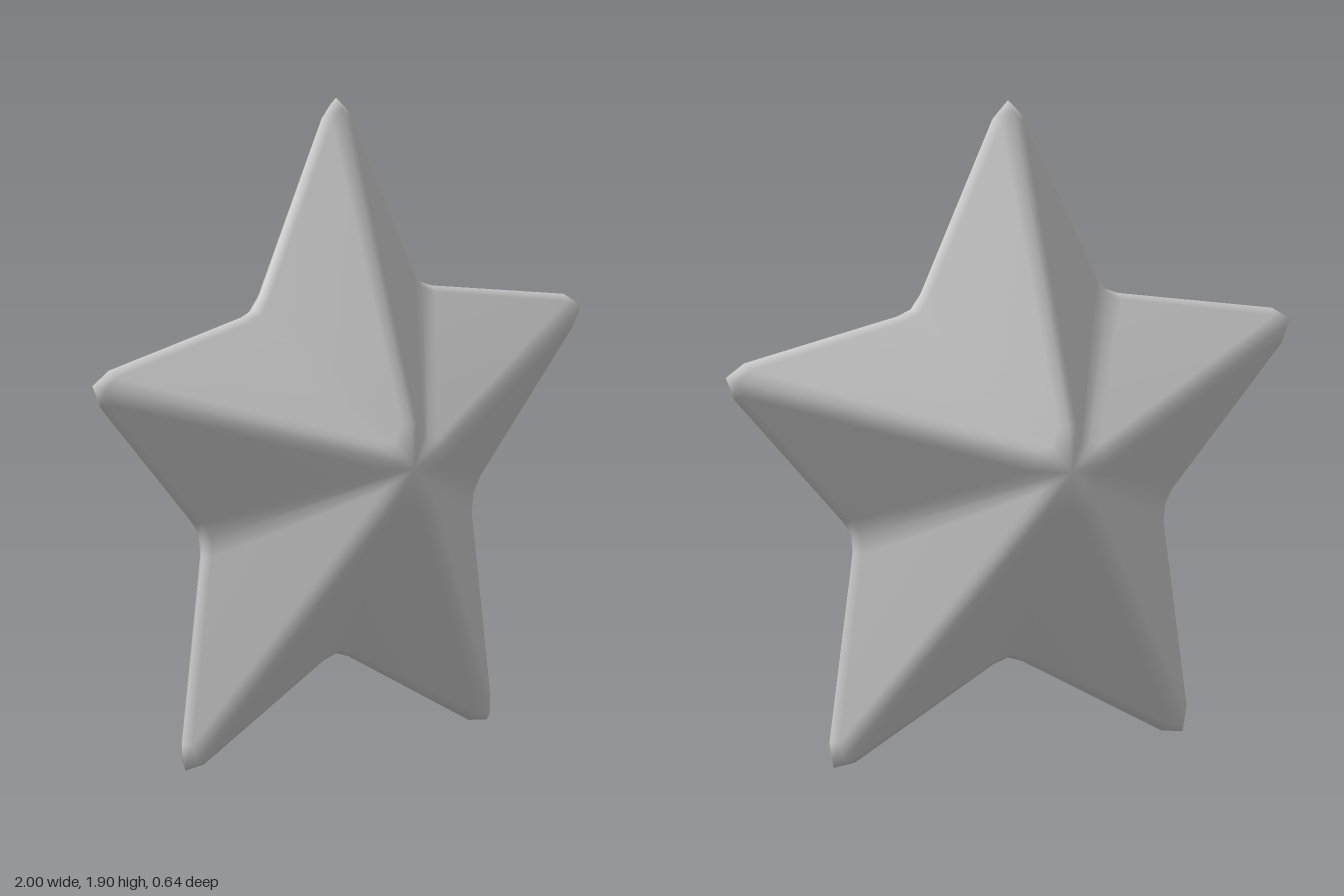
import * as THREE from 'three';

const ARMS = 5;
const CENTER_Y = 0.855;

// Half-arm cross-sections, [along arm, across arm, height], from tip to valley
const dir = Math.PI / 5;
const valley = (r, z) => [r * Math.cos(dir), r * Math.sin(dir), z];
const RINGS = [
  // soft crown around the middle
  [[0.13, 0, 0.305], [0.13, 0.03, 0.299], [0.1, 0.05, 0.298], valley(0.1, 0.301)],
  // upper edge of the rounded rim
  [[1.022, 0, 0.029], [0.985, 0.04, 0.022], [0.5, 0.296, 0.024], valley(0.565, 0.026)],
  // outermost outline
  [[1.05, 0, 0], [1.0, 0.055, 0], [0.511, 0.309, 0], valley(0.58, 0)],
];

function starGeometry() {
  const pos = [], index = [];
  const cols = ARMS * 6;

  const addRing = (ring, side) => {
    const [tip, tipSide, valleySide, notch] = ring;
    const flip = ([u, v, z]) => [u, -v, z];
    const arm = [flip(notch), flip(valleySide), flip(tipSide), tip, tipSide, valleySide];
    for (let k = 0; k < ARMS; k++) {
      const a = Math.PI / 2 + (k * 2 * Math.PI) / ARMS;
      const c = Math.cos(a), s = Math.sin(a);
      for (const [u, v, z] of arm) pos.push(u * c - v * s, u * s + v * c, z * side);
    }
  };

  // Rings run from the front crown over the rim to the back crown
  addRing(RINGS[0], 1);
  addRing(RINGS[1], 1);
  addRing(RINGS[2], 1);
  addRing(RINGS[1], -1);
  addRing(RINGS[0], -1);
  const front = pos.length / 3, back = front + 1;
  pos.push(0, 0, 0.32, 0, 0, -0.32);

  for (let j = 0; j < cols; j++) {
    const n = (j + 1) % cols;
    index.push(front, j, n);
    for (let r = 0; r < 4; r++) {
      const a = r * cols + j, b = r * cols + n;
      index.push(a, a + cols, b + cols, a, b + cols, b);
    }
    index.push(back, 4 * cols + n, 4 * cols + j);
  }

  const geo = new THREE.BufferGeometry();
  geo.setAttribute('position', new THREE.Float32BufferAttribute(pos, 3));
  geo.setIndex(index);
  geo.computeVertexNormals();
  return geo;
}

export function createModel() {
  const group = new THREE.Group();
  group.name = 'star';
  const body = new THREE.Mesh(starGeometry(), new THREE.MeshStandardMaterial({ color: 0xcccccc }));
  body.name = 'starBody';
  body.position.y = CENTER_Y;
  group.add(body);
  return group;
}
